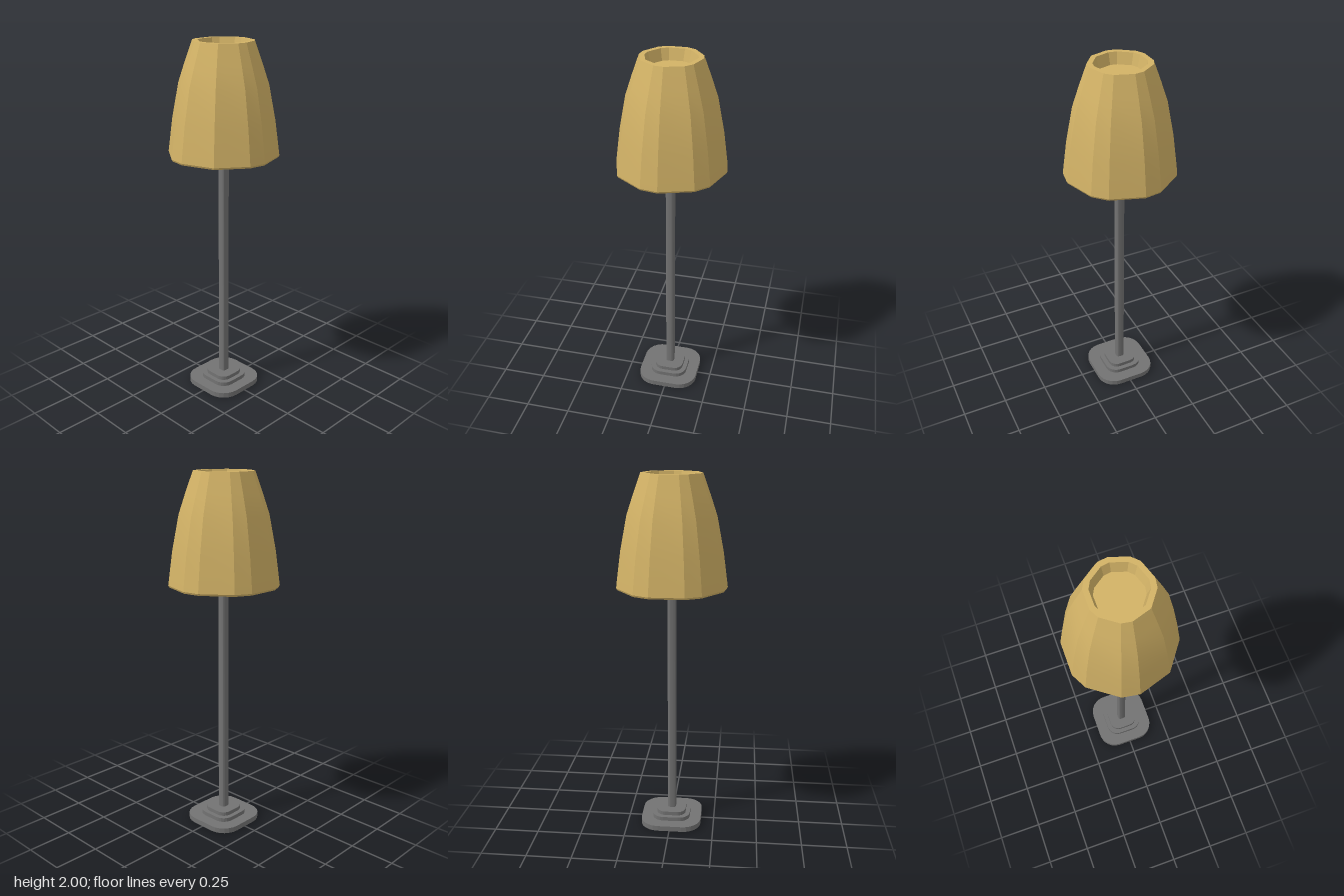
import * as THREE from 'three';
import { toCreasedNormals } from 'three/addons/utils/BufferGeometryUtils.js';

const shadeMat = new THREE.MeshStandardMaterial({ color: 0xd2b266 });
shadeMat.name = 'mustard shade';
const metalMat = new THREE.MeshStandardMaterial({ color: 0x737373 });
metalMat.name = 'grey metal';

// Upright prism with a square section and generously rounded corners
function roundedPrism(name, half, y0, y1, crease) {
  const r = half * 0.6, c = half - r;
  const s = new THREE.Shape();
  s.absarc(c, c, r, 0, Math.PI / 2);
  s.absarc(-c, c, r, Math.PI / 2, Math.PI);
  s.absarc(-c, -c, r, Math.PI, Math.PI * 1.5);
  s.absarc(c, -c, r, Math.PI * 1.5, Math.PI * 2);
  const geo = new THREE.ExtrudeGeometry(s, { depth: y1 - y0, bevelEnabled: false, curveSegments: 3 });
  geo.rotateX(-Math.PI / 2);
  geo.translate(-0.002, y0, -0.004);
  const mesh = new THREE.Mesh(toCreasedNormals(geo, crease), metalMat);
  mesh.name = name;
  return mesh;
}

// Closed body: profile of [radius, y] swept around uneven steps of a 20-sided circle
function facetedBody(profile, steps, centreZ) {
  const pos = [];
  const point = ([r, y], k) => {
    const a = (k * Math.PI) / 10;
    return [r * Math.cos(a), y, centreZ + r * Math.sin(a)];
  };
  for (let i = 0; i < profile.length - 1; i++) {
    const lo = profile[i], hi = profile[i + 1];
    steps.forEach((k, j) => {
      const n = steps[(j + 1) % steps.length];
      if (hi[0] > 0) pos.push(...point(lo, k), ...point(hi, k), ...point(hi, n));
      if (lo[0] > 0) pos.push(...point(lo, k), ...point(hi, n), ...point(lo, n));
    });
  }
  const geo = new THREE.BufferGeometry();
  geo.setAttribute('position', new THREE.Float32BufferAttribute(pos, 3));
  return toCreasedNormals(geo, 0.25);
}

export function createModel() {
  const lamp = new THREE.Group();
  lamp.name = 'floorLamp';

  // Stepped foot and pole
  lamp.add(
    roundedPrism('footPlate', 0.173, 0, 0.03, 0.1),
    roundedPrism('footMiddleStep', 0.108, 0.03, 0.053, 0.1),
    roundedPrism('footTopStep', 0.083, 0.053, 0.075, 0.1),
    roundedPrism('pole', 0.024, 0.075, 1.485, 0.6)
  );

  // Shade: recessed underside, curved flare, recessed top
  const profile = [
    [0, 1.48], [0.205, 1.48], [0.213, 1.395], [0.297, 1.395], [0.302, 1.405],
    [0.277, 1.59], [0.24, 1.78], [0.203, 1.89], [0.163, 2],
    [0.135, 2], [0.118, 1.94], [0, 1.94],
  ];
  const steps = [0, 2, 3, 5, 6, 8, 10, 11, 13, 14, 16, 17, 19];
  const shade = new THREE.Mesh(facetedBody(profile, steps, -0.008), shadeMat);
  shade.name = 'shade';
  lamp.add(shade);

  return lamp;
}
